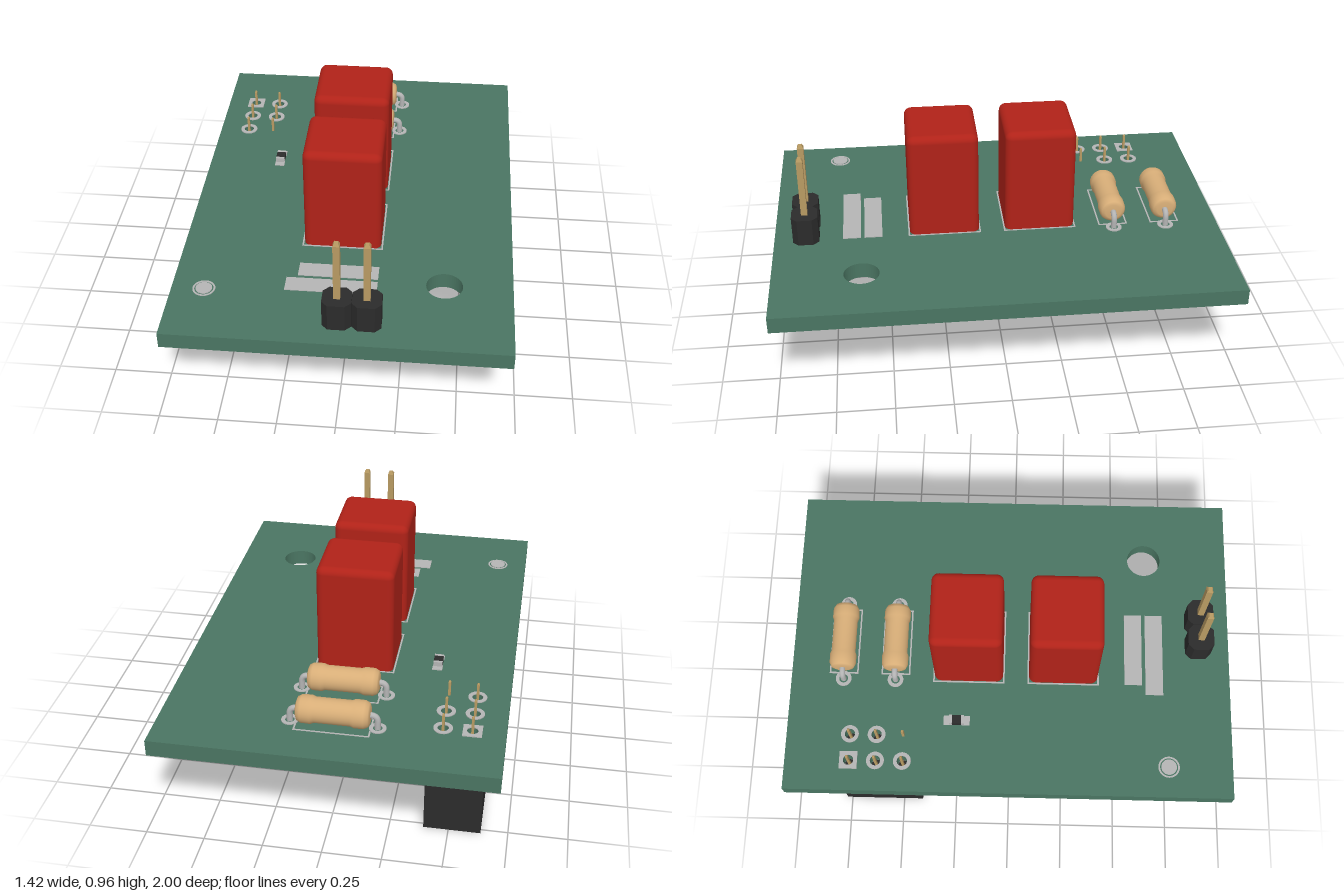
import * as THREE from 'three';
import { RoundedBoxGeometry } from 'three/addons/geometries/RoundedBoxGeometry.js';

const BOTTOM = 0.41, TOP = 0.482, SKIN = 0.004;

const paint = (color, flatShading = false) => new THREE.MeshStandardMaterial({ color, flatShading });
const green = paint(0x4a7562);
const red = paint(0xb02218);
const black = paint(0x2b2b2b);
const tan = paint(0xd8ae78);
const gold = paint(0xb89a62, true);
const silver = paint(0xb4b4b4);

function add(parent, name, geometry, material, x = 0, y = 0, z = 0) {
  const mesh = new THREE.Mesh(geometry, material);
  mesh.name = name;
  mesh.position.set(x, y, z);
  parent.add(mesh);
  return mesh;
}

function group(parent, name) {
  const g = new THREE.Group();
  g.name = name;
  parent.add(g);
  return g;
}

// Outlines live in the plan; plan y is -z
const points = (list) => list.map(([x, z]) => new THREE.Vector2(x, -z));
const rect = (x, z, w, d) => points([
  [x - w / 2, z + d / 2], [x + w / 2, z + d / 2], [x + w / 2, z - d / 2], [x - w / 2, z - d / 2]]);
const circle = (x, z, r) => new THREE.Path().absarc(x, -z, r, 0, Math.PI * 2).getPoints(16);

// Vertical extrusion of a plan outline with holes
function slab(outline, holes, height) {
  const shape = new THREE.Shape(outline);
  shape.holes = holes.map((h) => new THREE.Path(h));
  return new THREE.ExtrudeGeometry(shape, { depth: height, bevelEnabled: false }).rotateX(-Math.PI / 2);
}

// Square pin with tapered tips
function pin(parent, x, z, y0, y1, width, material = gold) {
  const r = width / Math.SQRT2, t = width / 2;
  const profile = [[0, y0], [r * 0.55, y0], [r, y0 + t], [r, y1 - t], [r * 0.55, y1], [0, y1]]
    .map(([a, b]) => new THREE.Vector2(a, b));
  add(parent, 'pin', new THREE.LatheGeometry(profile, 4, Math.PI / 4), material, x, 0, z);
}

// Ring pads on both faces of the board
function pads(parent, x, z, r, hole, square = false) {
  const outline = square ? rect(x, z, r * 2, r * 2) : circle(x, z, r);
  const geometry = slab(outline, [circle(x, z, hole)], SKIN);
  add(parent, 'topPad', geometry, silver, 0, TOP, 0);
  add(parent, 'bottomPad', geometry, silver, 0, BOTTOM - SKIN, 0);
}

// Thin printed frame around a component
function frame(parent, x, z, w, d) {
  add(parent, 'printedFrame', slab(rect(x, z, w, d), [rect(x, z, w - 0.014, d - 0.014)], 0.002), silver, 0, TOP, 0);
}

export function createModel() {
  const model = new THREE.Group();
  model.name = 'circuitBoard';

  const socketPins = [];
  for (const z of [-0.715, -0.595, -0.475]) for (const x of [-0.575, -0.455]) socketPins.push([x, z]);

  // Board with mounting hole and drilled socket holes
  const mount = new THREE.Path().absarc(0.425, -0.615, 0.077, 0, Math.PI * 2).getPoints(24);
  const drilled = socketPins.slice(0, 5).map(([x, z]) => circle(x, z, 0.023));
  add(model, 'board', slab(rect(0, 0, 1.424, 2), [mount, ...drilled], TOP - BOTTOM), green, 0, BOTTOM, 0);

  // Box capacitors
  for (const z of [-0.19, 0.24]) {
    const cap = group(model, 'capacitor');
    add(cap, 'capacitorBody', new RoundedBoxGeometry(0.334, 0.515, 0.312, 4, 0.032), red, -0.025, 0.7075, z);
    frame(cap, -0.025, z, 0.352, 0.326);
    for (const x of [-0.145, 0.095]) {
      pads(cap, x, z, 0.034, 0.018);
      add(cap, 'capacitorLead', new THREE.CylinderGeometry(0.011, 0.011, 0.06, 10), silver, x, 0.43, z);
    }
  }

  // Axial resistors: waisted body, bent leads
  const half = [[0, 0.153], [0.035, 0.153], [0.05, 0.147], [0.059, 0.13], [0.06, 0.09], [0.054, 0.074]];
  const bodyProfile = [...half.map(([r, y]) => [r, -y]), ...half.slice().reverse()]
    .map(([r, y]) => new THREE.Vector2(r, y));
  const bodyGeometry = new THREE.LatheGeometry(bodyProfile, 28).rotateZ(Math.PI / 2);
  for (const z of [-0.762, -0.525]) {
    const resistor = group(model, 'resistor');
    add(resistor, 'resistorBody', bodyGeometry, tan, -0.012, 0.546, z);
    frame(resistor, -0.012, z, 0.316, 0.132);
    for (const side of [-1, 1]) {
      const at = (x, y) => new THREE.Vector3(-0.012 + side * x, y, z);
      const path = new THREE.CurvePath();
      path.add(new THREE.LineCurve3(at(0.12, 0.546), at(0.155, 0.546)));
      path.add(new THREE.QuadraticBezierCurve3(at(0.155, 0.546), at(0.182, 0.546), at(0.182, 0.515)));
      path.add(new THREE.LineCurve3(at(0.182, 0.515), at(0.182, 0.345)));
      add(resistor, 'resistorLead', new THREE.TubeGeometry(path, 40, 0.013, 10), silver);
      add(resistor, 'leadEnd', new THREE.CylinderGeometry(0.013, 0.013, 0.004, 10), silver,
        -0.012 + side * 0.182, 0.345, z);
      pads(resistor, -0.012 + side * 0.182, z, 0.036, 0.02);
    }
  }

  // Two pin header with chamfered housings
  const header = group(model, 'pinHeader');
  const a = 0.06, c = 0.025, b = 0.058;
  const octagon = points([[-a + c, b], [a - c, b], [a, b - c], [a, c - b],
    [a - c, -b], [c - a, -b], [-a, c - b], [-a, b - c]]);
  for (const x of [-0.002, 0.119]) {
    add(header, 'headerHousing', slab(octagon, [], 0.126), black, x, TOP, 0.858);
    pin(header, x, 0.858, 0.345, 0.89, 0.028);
    pads(header, x, 0.858, 0.04, 0.02);
  }

  // Socket hanging under the board, open at the bottom
  const socket = group(model, 'socket');
  const openings = socketPins.map(([x, z]) => rect(x, z, 0.036, 0.036));
  add(socket, 'socketShell', slab(rect(-0.515, -0.592, 0.242, 0.362), openings, 0.3), black);
  add(socket, 'socketTop', new THREE.BoxGeometry(0.242, 0.096, 0.362), black, -0.515, 0.348, -0.592);
  for (const x of [-0.612, -0.418]) {
    add(socket, 'socketRail', new THREE.BoxGeometry(0.048, 0.012, 0.362), black, x, 0.402, -0.592);
  }
  socketPins.forEach(([x, z], i) => {
    pin(socket, x, z, 0.39, 0.555, 0.011);
    if (i < 5) pads(socket, x, z, 0.04, 0.023, i === 0);
  });

  // Surface mounted chip with metal ends
  const chip = group(model, 'chipResistor');
  add(chip, 'chipBody', new THREE.BoxGeometry(0.04, 0.024, 0.042), black, -0.382, TOP + 0.012, -0.238);
  for (const side of [-1, 1]) {
    add(chip, 'chipEnd', new THREE.BoxGeometry(0.04, 0.025, 0.013), silver, -0.382, TOP + 0.0125, -0.238 + side * 0.027);
    add(chip, 'chipPad', new THREE.BoxGeometry(0.044, SKIN, 0.036), silver, -0.382, TOP + SKIN / 2, -0.238 + side * 0.041);
  }

  // Blank label strips and round test pad
  add(model, 'labelStrip', new THREE.BoxGeometry(0.34, 0.003, 0.08), silver, -0.025, TOP + 0.0015, 0.56);
  add(model, 'labelStrip', new THREE.BoxGeometry(0.386, 0.003, 0.08), silver, -0.048, TOP + 0.0015, 0.656);
  add(model, 'testPad', new THREE.CylinderGeometry(0.035, 0.035, SKIN, 24), silver, -0.575, TOP + SKIN / 2, 0.715);
  add(model, 'testPadRing', slab(circle(-0.575, 0.715, 0.048), [circle(-0.575, 0.715, 0.04)], 0.002), silver, 0, TOP, 0);

  return model;
}
